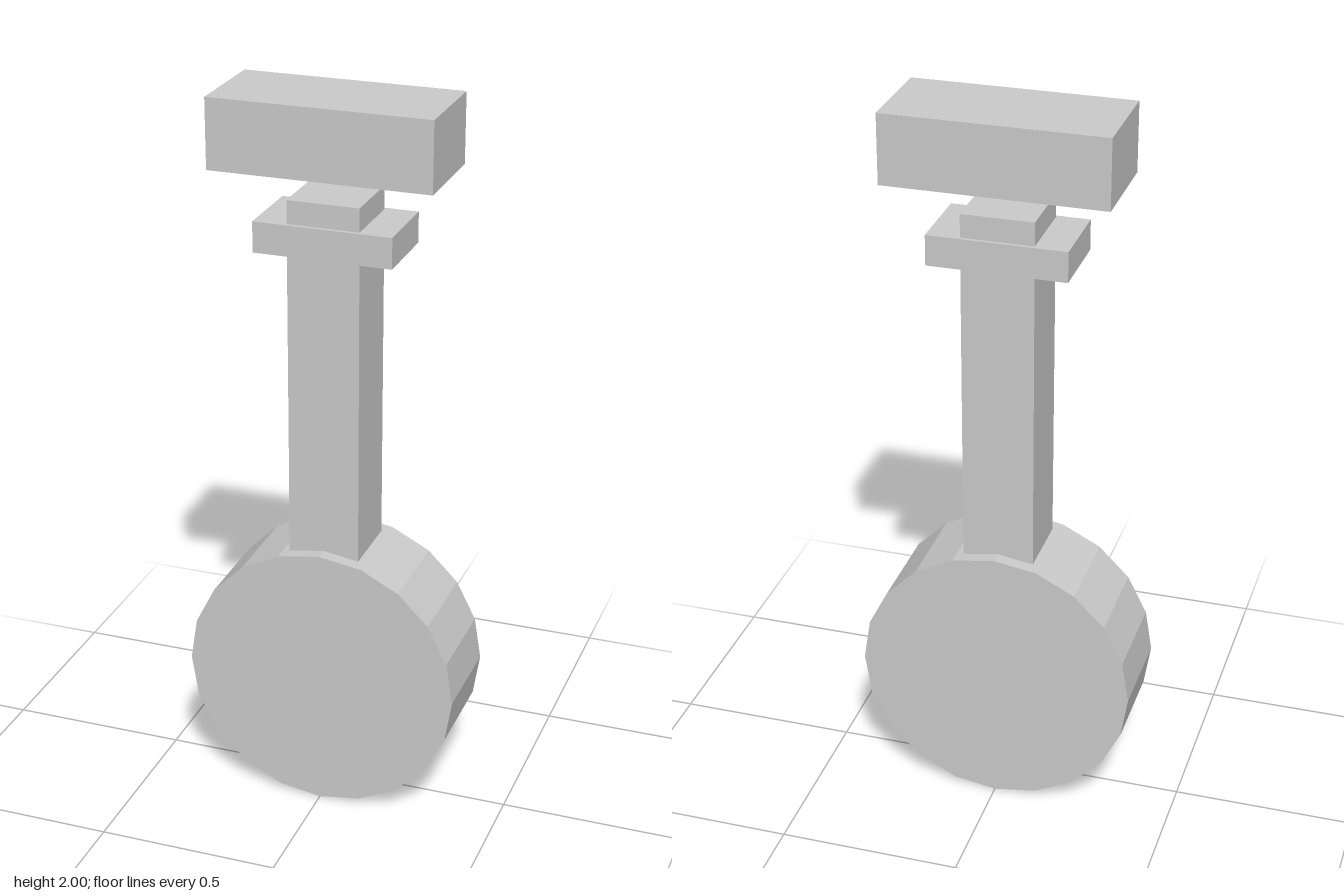
import * as THREE from 'three';

export function createModel() {
  const model = new THREE.Group();
  const material = new THREE.MeshStandardMaterial({ color: 0xcccccc, flatShading: true });

  function add(name, geometry, y) {
    const mesh = new THREE.Mesh(geometry, material);
    mesh.name = name;
    mesh.position.y = y;
    model.add(mesh);
    return mesh;
  }

  // Box given by its bottom and top heights
  function block(name, width, depth, bottom, top) {
    return add(name, new THREE.BoxGeometry(width, top - bottom, depth), (bottom + top) / 2);
  }

  // Twenty-sided disc standing on its rim, flat faces to front and back
  const radius = 0.381;
  add('disc', new THREE.CylinderGeometry(radius, radius, 0.27, 20).rotateX(Math.PI / 2), radius);

  // Square post set into the disc, with a collar near its top
  block('post', 0.196, 0.196, 0.7, 1.742);
  block('collar', 0.376, 0.216, 1.594, 1.678);

  // Separate block floating above the post
  block('topBlock', 0.6, 0.27, 1.81, 2);

  return model;
}
